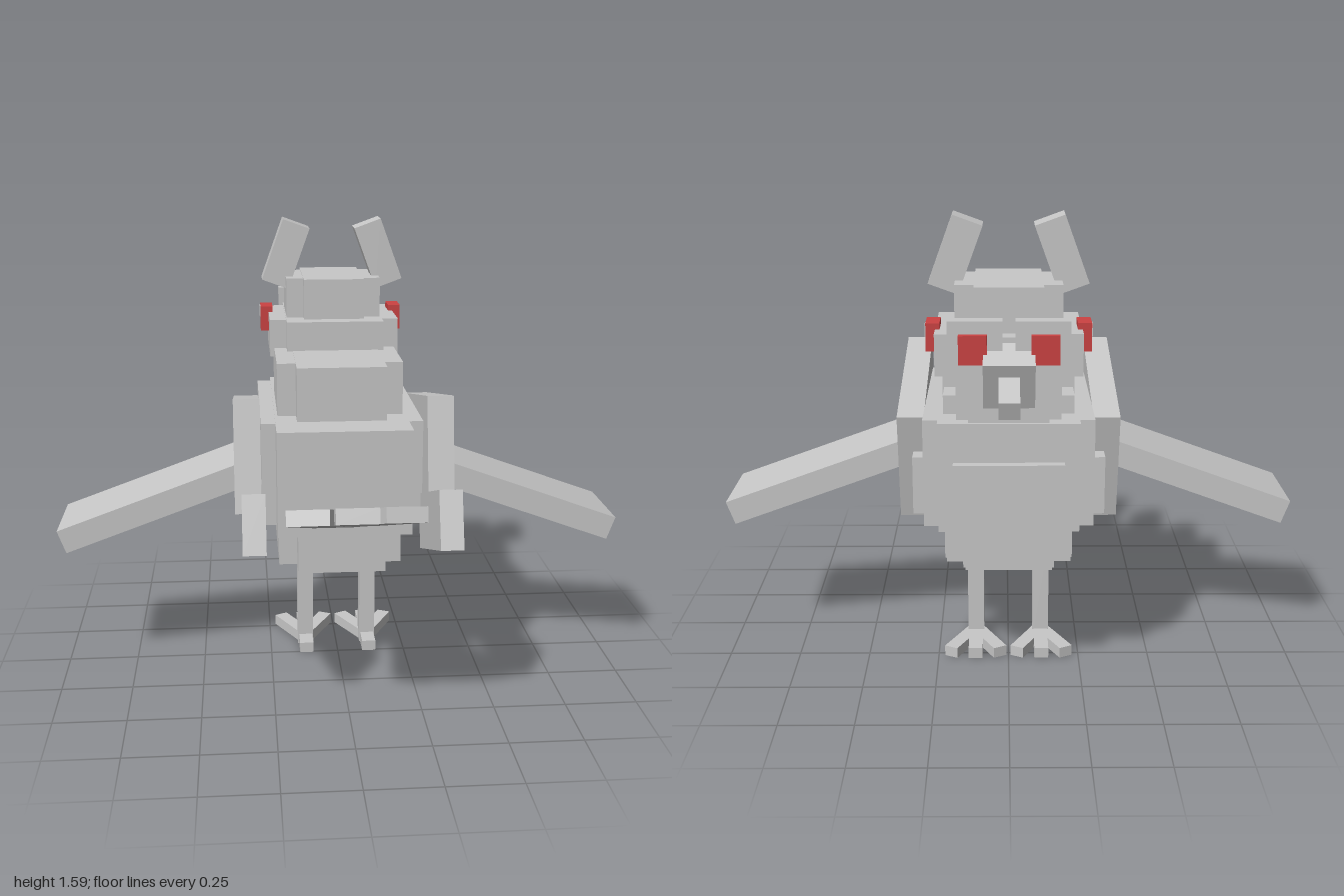
import * as THREE from 'three';

const DEG = Math.PI / 180;

export function createModel() {
  const model = new THREE.Group();
  const grey = new THREE.MeshStandardMaterial({ color: 0xc8c8c8 });
  grey.name = 'greyFeathers';
  const red = new THREE.MeshStandardMaterial({ color: 0xcc4242 });
  red.name = 'redEyes';

  // Box of a given size and centre
  function box(name, size, pos, parent = model, material = grey) {
    const mesh = new THREE.Mesh(new THREE.BoxGeometry(...size), material);
    mesh.name = name;
    mesh.position.set(...pos);
    parent.add(mesh);
    return mesh;
  }

  // Box centred on x = 0, given by half width, y range and z range
  function slab(name, halfX, y0, y1, z0, z1) {
    return box(name, [halfX * 2, y1 - y0, z1 - z0], [0, (y0 + y1) / 2, (z0 + z1) / 2]);
  }

  // Crossing slabs give each body section its stepped corners
  slab('coreLong', 0.155, 0.394, 1.136, -0.39, 0.2);
  slab('coreWide', 0.22, 0.396, 1.134, -0.305, 0.11);
  slab('bodyLong', 0.23, 0.58, 0.948, -0.526, 0.34);
  slab('bodyWide', 0.28, 0.582, 0.946, -0.478, 0.21);
  slab('bellyLong', 0.145, 0.424, 0.6, -0.478, -0.2);
  slab('bellyWide', 0.21, 0.426, 0.6, -0.41, -0.2);
  slab('throatLong', 0.13, 0.93, 1.12, -0.513, -0.2);
  slab('throatWide', 0.17, 0.93, 1.118, -0.478, -0.2);
  slab('collar', 0.215, 0.93, 1.01, -0.41, -0.2);
  slab('chestPlate', 0.18, 0.623, 0.818, -0.556, -0.52);

  // Head
  slab('headLowerLong', 0.175, 1.1, 1.24, -0.57, -0.106);
  slab('headLowerWide', 0.235, 1.102, 1.238, -0.515, -0.175);
  slab('headUpperLong', 0.11, 1.23, 1.385, -0.513, -0.167);
  slab('headUpperWide', 0.172, 1.23, 1.383, -0.46, -0.214);

  // Beak
  box('beak', [0.16, 0.158, 0.127], [0, 1.128, -0.602]).rotation.x = -20 * DEG;
  box('beakTip', [0.064, 0.059, 0.16], [0, 1.094, -0.722]).rotation.x = -18 * DEG;

  // Paired parts
  for (const s of [-1, 1]) {
    const side = s > 0 ? 'left' : 'right';

    box(side + 'Ear', [0.103, 0.234, 0.108], [s * 0.171, 1.465, -0.325]).rotation.z = s * 20 * DEG;
    box(side + 'FacePlate', [0.17, 0.17, 0.05], [s * 0.105, 1.215, -0.587]);
    box(side + 'FrontEye', [0.088, 0.092, 0.03], [s * 0.112, 1.213, -0.618], model, red);
    box(side + 'SideEye', [0.045, 0.092, 0.092], [s * 0.2425, 1.213, -0.403], model, red);
    box(side + 'EyeGlint', [0.008, 0.04, 0.04], [s * 0.264, 1.234, -0.424]);
    box(side + 'FlankPlate', [0.04, 0.195, 0.065], [s * 0.295, 0.72, -0.4375]);

    // Folded wing, its rear tip and the outstretched wing
    box(side + 'WingPanel', [0.09, 0.386, 0.632], [s * 0.328, 0.794, 0]).rotation.x = -12 * DEG;
    box(side + 'WingTip', [0.075, 0.193, 0.475], [s * 0.312, 0.656, 0.42]).rotation.x = -19 * DEG;
    box(side + 'OuterWing', [0.72, 0.087, 0.308], [s * 0.648, 0.634, -0.018]).rotation.z = -s * 20 * DEG;

    // Leg and four toes
    const leg = new THREE.Group();
    leg.name = side + 'Leg';
    leg.position.set(s * 0.1175, 0, -0.106);
    model.add(leg);
    box('shin', [0.058, 0.4, 0.06], [0, 0.2, 0], leg);
    box('backToe', [0.05, 0.038, 0.112], [0, 0.019, 0.056], leg);
    for (const angle of [-27, 0, 27]) {
      const toe = new THREE.Group();
      toe.name = 'frontToe';
      toe.rotation.y = angle * DEG;
      leg.add(toe);
      const length = angle === 0 ? 0.184 : 0.193;
      box('toe', [0.05, 0.038, length], [0, angle === 0 ? 0.0195 : 0.019, -length / 2], toe);
    }
  }

  // Fan tail
  const tail = new THREE.Group();
  tail.name = 'tail';
  tail.position.set(0, 0.577, 0.17);
  tail.rotation.x = -20 * DEG;
  model.add(tail);
  for (const angle of [-13, 0, 13]) {
    const feather = new THREE.Group();
    feather.name = 'tailFeather';
    feather.rotation.y = angle * DEG;
    tail.add(feather);
    const length = angle === 0 ? 0.665 : 0.673;
    box('feather', [0.135, 0.05, length], [0, angle * 0.0001, length / 2], feather);
  }

  return model;
}
